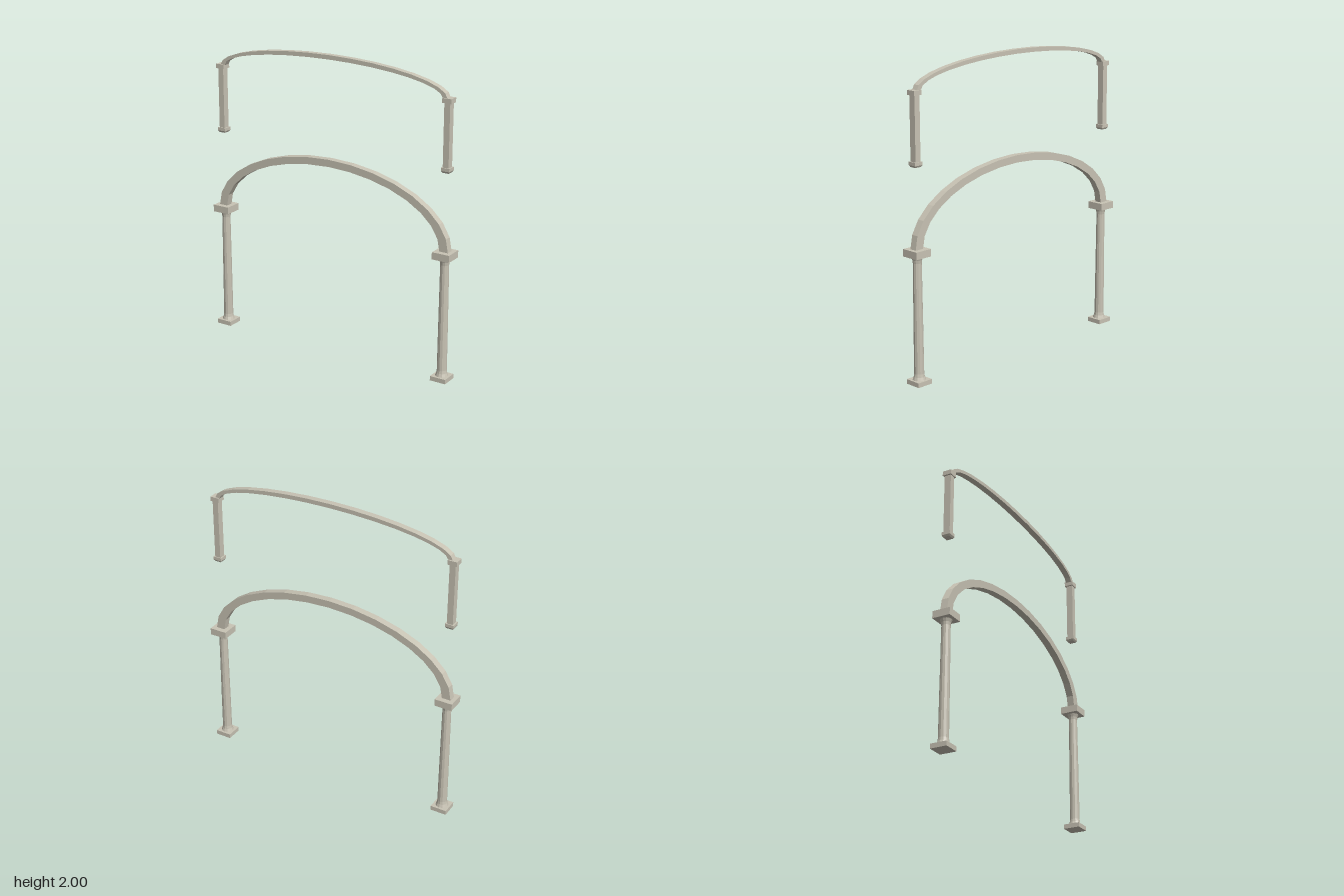
import * as THREE from 'three';

const stone = new THREE.MeshStandardMaterial({ color: 0xc8c3b4, flatShading: true });
stone.name = 'pale stone';

function add(parent, name, geometry, x = 0, y = 0, z = 0) {
  const mesh = new THREE.Mesh(geometry, stone);
  mesh.name = name;
  mesh.position.set(x, y, z);
  parent.add(mesh);
  return mesh;
}

// Box given by its bottom and top heights
function block(parent, name, w, d, y0, y1) {
  return add(parent, name, new THREE.BoxGeometry(w, y1 - y0, d), 0, (y0 + y1) / 2);
}

// Half-elliptical band between an outer and an inner ellipse
function archBand(outerA, outerB, innerA, innerB, depth, segments = 16) {
  const shape = new THREE.Shape();
  const point = (a, b, i) => [a * Math.cos(Math.PI * i / segments), b * Math.sin(Math.PI * i / segments)];
  shape.moveTo(outerA, 0);
  for (let i = 1; i <= segments; i++) shape.lineTo(...point(outerA, outerB, i));
  for (let i = segments; i >= 0; i--) shape.lineTo(...point(innerA, innerB, i));
  const geometry = new THREE.ExtrudeGeometry(shape, { depth, bevelEnabled: false });
  return geometry.translate(0, 0, -depth / 2);
}

export function createModel() {
  const model = new THREE.Group();
  model.name = 'archway trim';

  for (const side of [-1, 1]) {
    const label = side > 0 ? 'left' : 'right';

    // Round column with flared ends, between a plinth and a capital
    const column = new THREE.Group();
    column.name = label + 'Column';
    column.position.x = side * 0.847;
    block(column, 'plinth', 0.11, 0.11, 0, 0.03);
    const profile = [
      [0.042, 0.03], [0.035, 0.05], [0.032, 0.07], [0.031, 0.3],
      [0.028, 0.78], [0.031, 0.80], [0.038, 0.82],
    ].map(([r, y]) => new THREE.Vector2(r, y));
    add(column, 'shaft', new THREE.LatheGeometry(profile, 12));
    block(column, 'capital', 0.12, 0.12, 0.82, 0.867);
    model.add(column);

    // Slim square pilaster of the upper frame
    const post = new THREE.Group();
    post.name = label + 'Pilaster';
    post.position.x = side * 0.847;
    block(post, 'pilasterShaft', 0.04, 0.045, 1.40, 1.815);
    block(post, 'pilasterCapital', 0.062, 0.06, 1.81, 1.84);
    block(post, 'pilasterFoot', 0.058, 0.058, 1.387, 1.408);
    // Chamfered underside of the foot
    const taper = new THREE.CylinderGeometry(0.058 / Math.SQRT2, 0.044 / Math.SQRT2, 0.012, 4);
    add(post, 'footChamfer', taper.rotateY(Math.PI / 4), 0, 1.381);
    model.add(post);
  }

  // Main arch and the flatter arch above it
  add(model, 'mainArch', archBand(0.88, 0.458, 0.82, 0.41, 0.048), 0, 0.865);
  add(model, 'upperArch', archBand(0.847, 0.164, 0.815, 0.136, 0.042), 0, 1.836);

  return model;
}
